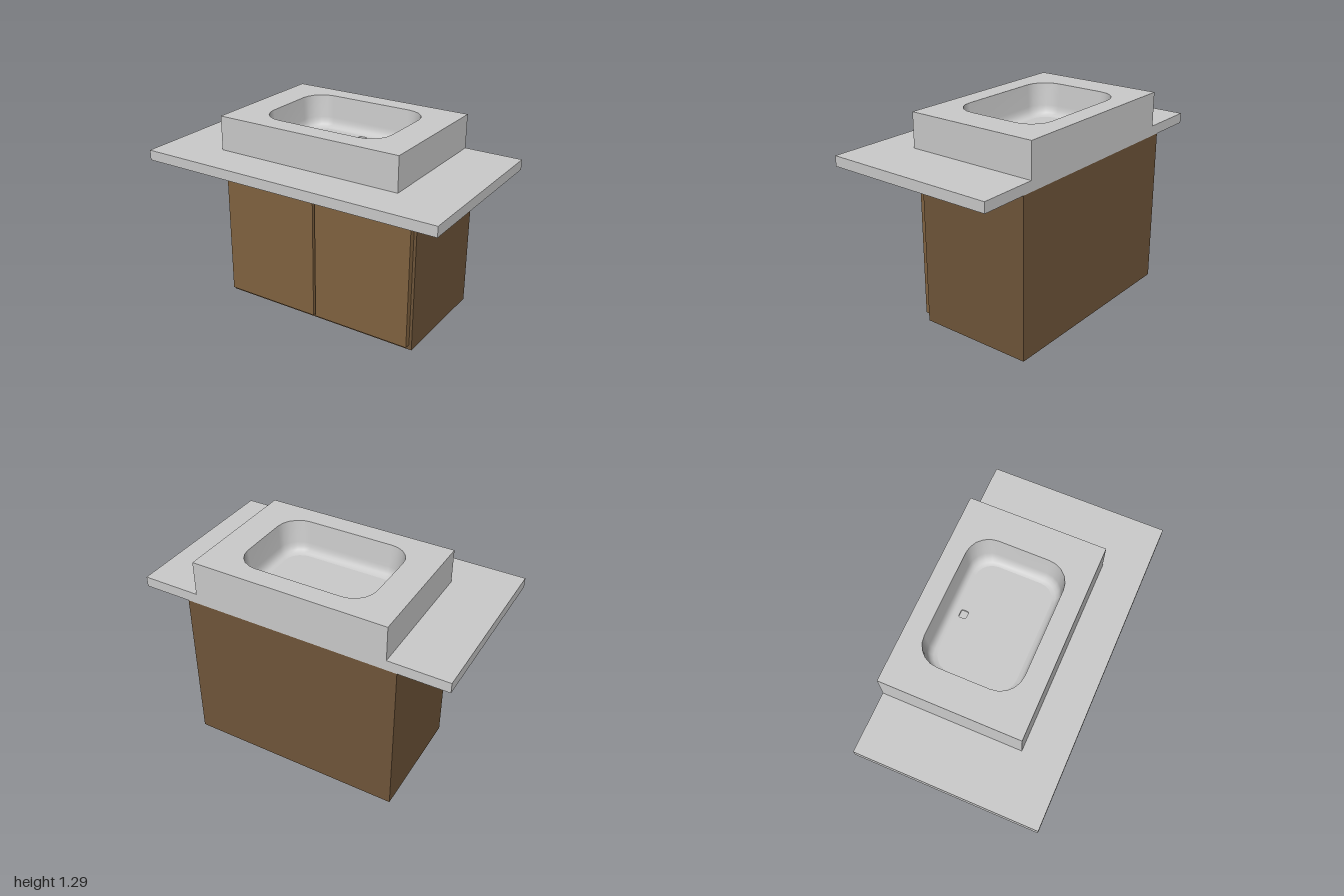
import * as THREE from 'three';

const BACK = -0.56;
const RIM = 1.295;      // top of the basin block
const FLOOR = 1.085;    // bottom of the bowl

// Rounded rectangle in plan (X = x, Y = -z), counter-clockwise from above
function ringXY(x0, x1, z0, z1, r, seg = 5) {
  const pts = [];
  const corners = [[x1 - r, -z0 - r], [x0 + r, -z0 - r], [x0 + r, -z1 + r], [x1 - r, -z1 + r]];
  corners.forEach(([cx, cy], q) => {
    for (let i = 0; i <= seg; i++) {
      const a = (q + i / seg) * Math.PI / 2;
      pts.push(new THREE.Vector2(cx + r * Math.cos(a), cy + r * Math.sin(a)));
    }
  });
  return pts;
}

// Skin between plan rings; descending rings face inwards
function loft(rings) {
  const n = rings[0].pts.length, pos = [], idx = [];
  rings.forEach(({ pts, y }) => pts.forEach(p => pos.push(p.x, y, -p.y)));
  for (let k = 0; k < rings.length - 1; k++) {
    for (let j = 0; j < n; j++) {
      const a = k * n + j, b = k * n + (j + 1) % n;
      idx.push(a, b, b + n, a, b + n, a + n);
    }
  }
  const g = new THREE.BufferGeometry();
  g.setAttribute('position', new THREE.Float32BufferAttribute(pos, 3));
  g.setIndex(idx);
  g.computeVertexNormals();
  return g;
}

// Horizontal face with an optional opening
function flat(outer, hole, y) {
  const shape = new THREE.Shape(outer);
  if (hole) shape.holes.push(new THREE.Path(hole));
  return new THREE.ShapeGeometry(shape).rotateX(-Math.PI / 2).translate(0, y, 0);
}

function boxBetween(x0, x1, y0, y1, z0, z1) {
  return new THREE.BoxGeometry(x1 - x0, y1 - y0, z1 - z0)
    .translate((x0 + x1) / 2, (y0 + y1) / 2, (z0 + z1) / 2);
}

export function createModel() {
  const model = new THREE.Group();
  model.name = 'washbasinCabinet';
  const ceramic = new THREE.MeshStandardMaterial({ color: 0xcccccc });
  const ceramicFlat = new THREE.MeshStandardMaterial({ color: 0xcccccc, flatShading: true });
  const wood = new THREE.MeshStandardMaterial({ color: 0x70563a });
  const doorWood = new THREE.MeshStandardMaterial({ color: 0x826441 });

  const add = (parent, name, geometry, material) => {
    const mesh = new THREE.Mesh(geometry, material);
    mesh.name = name;
    parent.add(mesh);
  };

  // Cabinet with two doors
  add(model, 'cabinet', boxBetween(-0.69, 0.69, 0, 1.01, BACK, 0.18), wood);
  add(model, 'leftDoor', boxBetween(0.008, 0.672, 0.035, 1.01, 0.18, 0.22), doorWood);
  add(model, 'rightDoor', boxBetween(-0.672, -0.008, 0.035, 1.01, 0.18, 0.22), doorWood);

  // Countertop
  add(model, 'countertop', boxBetween(-1, 1, 1.01, 1.075, BACK, 0.56), ceramic);

  // Basin block: outer walls, rim and recessed bowl
  const basin = new THREE.Group();
  basin.name = 'basin';
  model.add(basin);

  const outer = [[0.625, 0.56], [-0.625, 0.56], [-0.625, -0.305], [0.625, -0.305]]
    .map(([x, y]) => new THREE.Vector2(x, y));
  add(basin, 'basinWalls', loft([{ pts: outer, y: 1.075 }, { pts: outer, y: RIM }]), ceramicFlat);

  const bowlRing = inset =>
    ringXY(-0.425 + inset, 0.425 - inset, -0.435 + inset, 0.175 - inset, 0.145 - inset * 0.6);
  add(basin, 'basinRim', flat(outer, bowlRing(0), RIM), ceramic);

  // Slightly tapered bowl wall rolling into the floor
  const profile = [[0, RIM], [0.012, 1.15], [0.016, 1.125], [0.025, 1.103], [0.04, 1.09], [0.06, FLOOR]];
  add(basin, 'bowlWall', loft(profile.map(([inset, y]) => ({ pts: bowlRing(inset), y }))), ceramic);

  // Floor with a small sunken drain near the back
  const drain = ringXY(-0.025, 0.025, -0.358, -0.312, 0.01, 3);
  add(basin, 'bowlFloor', flat(bowlRing(0.06), drain, FLOOR), ceramic);
  add(basin, 'drainWall', loft([{ pts: drain, y: FLOOR }, { pts: drain, y: FLOOR - 0.02 }]), ceramic);
  add(basin, 'drainBottom', flat(drain, null, FLOOR - 0.02), ceramic);

  return model;
}
